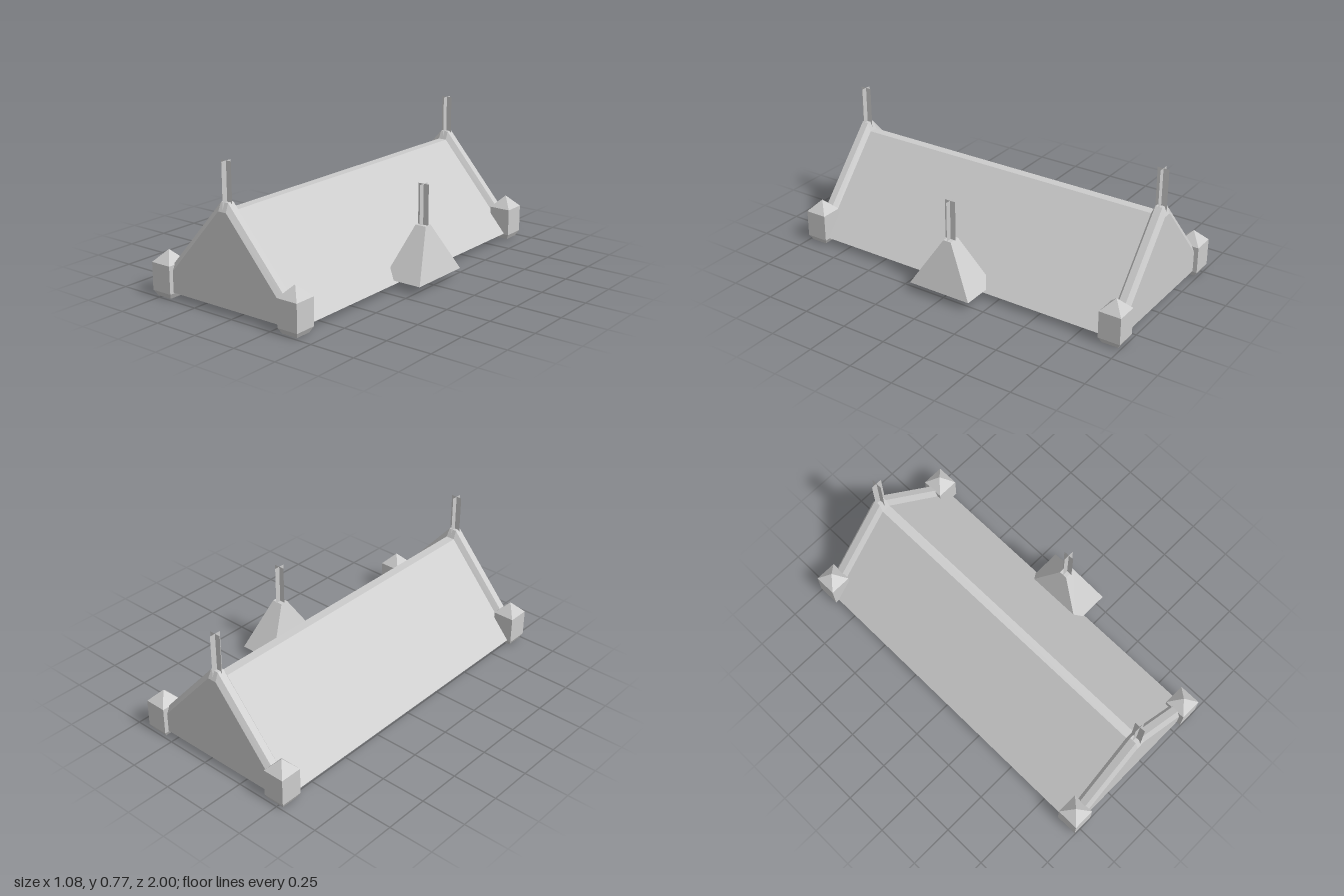
import * as THREE from 'three';

const stone = new THREE.MeshStandardMaterial({ color: 0xcccccc, side: THREE.DoubleSide });
stone.name = 'paleGrey';

// Skin neighbouring cross-sections with flat quads
function loft(sections, closed) {
  const pos = [];
  for (let i = 0; i < sections.length - 1; i++) {
    const a = sections[i], b = sections[i + 1], n = a.length;
    for (let j = 0; j < (closed ? n : n - 1); j++) {
      const k = (j + 1) % n;
      pos.push(...a[j], ...a[k], ...b[k], ...a[j], ...b[k], ...b[j]);
    }
  }
  const g = new THREE.BufferGeometry();
  g.setAttribute('position', new THREE.Float32BufferAttribute(pos, 3));
  g.computeVertexNormals();
  return g;
}

// Rectangular tower from [y, halfX, halfZ] levels, bottom to top
function tower(levels) {
  return loft(levels.map(([y, hx, hz]) =>
    [[-hx, y, hz], [hx, y, hz], [hx, y, -hz], [-hx, y, -hz]]), true);
}

export function createModel() {
  const model = new THREE.Group();
  const add = (name, geometry, x = 0, y = 0, z = 0) => {
    const mesh = new THREE.Mesh(geometry, stone);
    mesh.name = name;
    mesh.position.set(x, y, z);
    model.add(mesh);
    return mesh;
  };

  const ridgeX = -0.065, endZ = 0.937;
  const profile = [[-0.52, 0.035], [-0.09, 0.525], [-0.04, 0.525], [0.39, 0.035]];

  // Two thin crossed plates
  const finial = (name, x, y0, y1, z) => {
    for (const turn of [0, Math.PI / 2]) {
      add(name, new THREE.PlaneGeometry(0.064, y1 - y0), x, (y0 + y1) / 2, z).rotation.y = turn;
    }
  };

  // Roof shell, open underneath
  add('roof', loft([0.975, -0.975].map(z => profile.map(([x, y]) => [x, y, z])), false));

  const gable = new THREE.ShapeGeometry(
    new THREE.Shape(profile.map(([x, y]) => new THREE.Vector2(x, y)).reverse()));

  for (const s of [1, -1]) {
    const end = s > 0 ? 'front' : 'back';
    add(end + 'Gable', gable, 0, 0, s * 0.975).rotation.y = 0;

    // Raised bevelled verge along the gable edge
    const lift = 0.045;
    const verge = profile.map(([x, y]) => {
      const topX = x + (ridgeX - x) * (Math.abs(x - ridgeX) < 0.1 ? 0.1 : 0);
      return [[x, y, 0.039], [topX, y + lift, 0.019], [topX, y + lift, -0.019], [x, y, -0.039]];
    });
    add(end + 'Verge', loft(verge, false), 0, 0, s * 0.936);

    finial(end + 'Finial', ridgeX, 0.525, 0.773, s * endZ);

    // Corner posts with pyramid caps
    for (const [side, x] of [['Right', -0.481], ['Left', 0.356]]) {
      add(end + side + 'Post', tower([
        [0, 0.045, 0.045], [0.03, 0.061, 0.062], [0.18, 0.061, 0.062], [0.245, 0, 0],
      ]), x, 0, s * endZ);
    }
  }

  // Side chimney: flared base with a crossed-plate top
  add('chimneyBase', tower([
    [0.05, 0.113, 0.186], [0.315, 0.032, 0.023], [0.315, 0, 0],
  ]), 0.427, 0, 0);
  finial('chimneyTop', 0.427, 0.315, 0.535, 0);

  return model;
}
